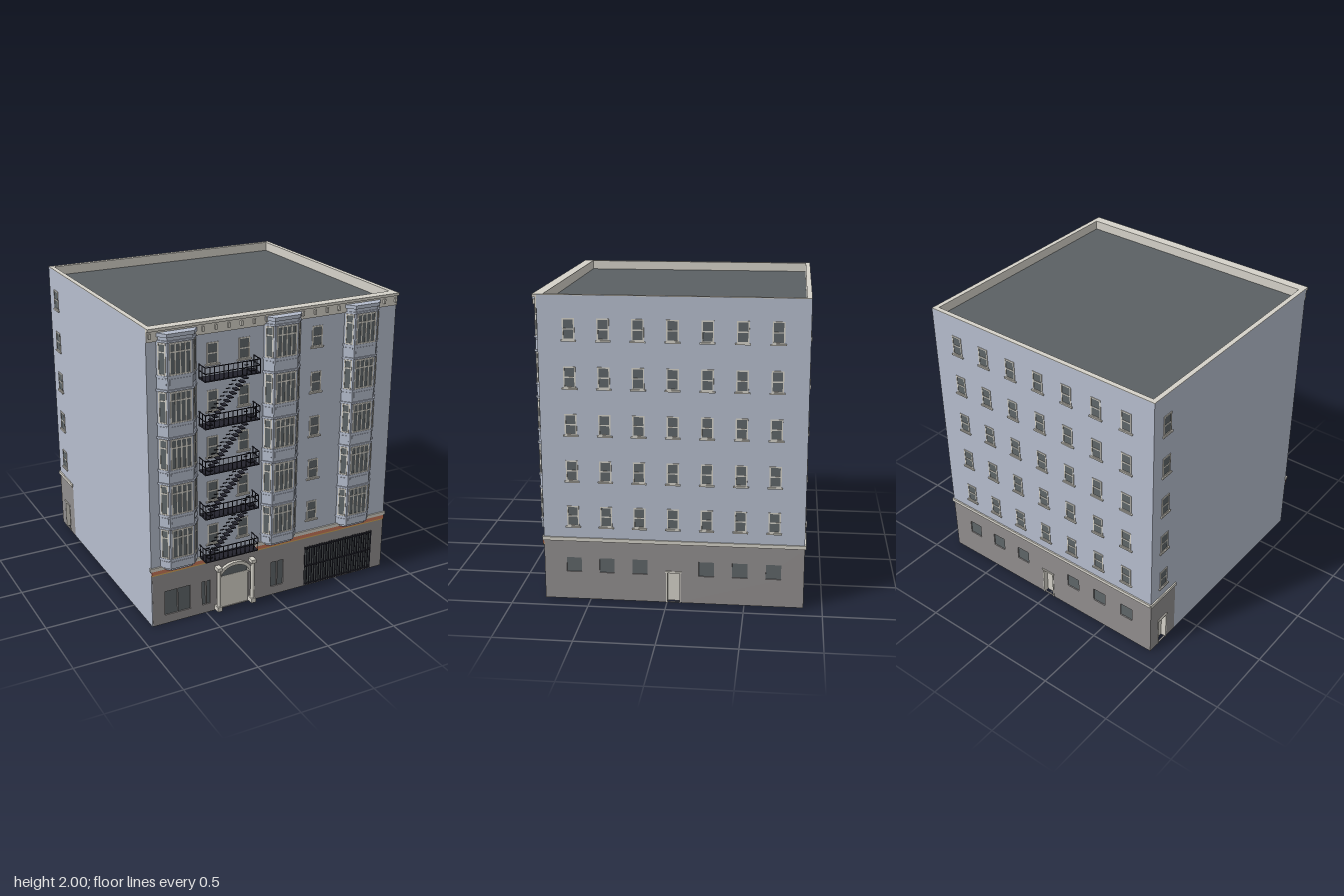
import * as THREE from 'three';

const mat = (name, color) => {
  const m = new THREE.MeshStandardMaterial({ color });
  m.name = name;
  return m;
};
const BLUE = mat('blue wall', 0xb6bece);
const CREAM = mat('cream trim', 0xd5d2c9);
const GRAY = mat('gray stone', 0x918e8e);
const GLASS = mat('dark glass', 0x5f6669);
const ROOF = mat('roof', 0x5b6063);
const IRON = mat('black iron', 0x22222c);
const ORANGE = mat('orange band', 0xc8775a);
const YELLOW = mat('yellow band', 0xd0a658);

const X = 0.885, FRONT = 0.8, BACK = -0.88, PITCH = 0.304, SKIN = 0.012;
const FLOORS = [0, 1, 2, 3, 4];

function add(parent, name, geo, material, x = 0, y = 0, z = 0) {
  const m = new THREE.Mesh(geo, material);
  m.name = name;
  m.position.set(x, y, z);
  parent.add(m);
  return m;
}
// box given by its limits
function box(parent, name, material, x0, x1, y0, y1, z0, z1) {
  return add(parent, name, new THREE.BoxGeometry(x1 - x0, y1 - y0, z1 - z0), material,
    (x0 + x1) / 2, (y0 + y1) / 2, (z0 + z1) / 2);
}
function rect(x0, x1, y0, y1, Type = THREE.Shape) {
  return new Type([[x0, y0], [x1, y0], [x1, y1], [x0, y1]].map(p => new THREE.Vector2(...p)));
}
const extrude = (shape, depth) =>
  new THREE.ExtrudeGeometry(shape, { depth, bevelEnabled: false, curveSegments: 16 });

// framed window standing on y, with a grid of panes and an optional sill
function windowUnit(parent, u, y, w, h, cols, split, sill) {
  const bar = 0.008;
  const g = new THREE.Group();
  g.name = 'window';
  g.position.set(u, y, 0);
  const frame = rect(-w / 2, w / 2, 0, h);
  const pw = (w - bar) / cols;
  for (let c = 0; c < cols; c++) {
    const x0 = -w / 2 + bar + c * pw, x1 = x0 + pw - bar;
    frame.holes.push(rect(x0, x1, bar, h * split - bar / 2, THREE.Path));
    frame.holes.push(rect(x0, x1, h * split + bar / 2, h - bar, THREE.Path));
  }
  add(g, 'windowFrame', extrude(frame, 0.004), CREAM);
  box(g, 'windowGlass', GLASS, -w / 2 + 0.003, w / 2 - 0.003, 0.003, h - 0.003, 0, 0.0015);
  if (sill) box(g, 'windowSill', CREAM, -w / 2 - 0.01, w / 2 + 0.01, -0.01, 0, 0, 0.01);
  parent.add(g);
}
const sashColumn = (side, u) => {
  for (const f of FLOORS) windowUnit(side, u, 0.504 + f * PITCH, 0.077, 0.136, 1, 0.5, true);
};

// thin upper wall and the pale inner lining, open at the bottom
function shell(side, u0, u1) {
  box(side, 'upperWall', BLUE, u0, u1, 0.4, 1.996, -SKIN, 0);
  add(side, 'innerLining', new THREE.PlaneGeometry(u1 - u0 - 0.026, 1.93), CREAM,
    (u0 + u1) / 2, 0.965, -0.014).rotation.y = Math.PI;
}
// ground floor wall with glazed openings [u0, u1, y0, y1]
function groundWall(side, u0, u1, openings, doorway) {
  const s = rect(u0, u1, 0, 0.402);
  for (const o of openings) {
    s.holes.push(rect(...o, THREE.Path));
    box(side, 'groundGlass', GLASS, ...o, -SKIN, -0.008);
  }
  s.holes.push(doorway);
  add(side, 'groundWall', extrude(s, SKIN), GRAY, 0, 0, -SKIN);
}
function sideDoor(side, u) {
  box(side, 'doorLintel', CREAM, u - 0.052, u + 0.052, 0.205, 0.217, -0.04, 0.006);
  for (const s of [-1, 1]) box(side, 'doorJamb', CREAM, u + s * 0.043 - 0.004, u + s * 0.043 + 0.004, 0, 0.205, -0.04, 0.003);
  box(side, 'door', CREAM, u - 0.041, u + 0.041, 0, 0.205, -0.04, -0.034);
}
function plainSide(side, u0, u1, columns, groundColumns, doorU) {
  groundWall(side, u0, u1, groundColumns.map(u => [u - 0.049, u + 0.049, 0.188, 0.287]),
    rect(doorU - 0.045, doorU + 0.045, 0.003, 0.21, THREE.Path));
  sideDoor(side, doorU);
  for (const u of columns) sashColumn(side, u);
  box(side, 'beltCourse', CREAM, u0 - 0.008, u1, 0.402, 0.426, -0.01, 0.009);
}

// three-sided bay: stacked trapezoid slabs with windows on each facet
function bay(side, x) {
  const g = new THREE.Group();
  g.name = 'bayWindow';
  g.position.x = x;
  const A = 0.13, B = 0.083, D = 0.056;
  const slab = (name, m, y0, y1, grow) => {
    const s = new THREE.Shape([[-B - grow * 0.7, -D - grow], [B + grow * 0.7, -D - grow], [A + grow, 0], [-A - grow, 0]]
      .map(p => new THREE.Vector2(...p)));
    add(g, name, extrude(s, y1 - y0), m, 0, y0, 0).rotation.x = -Math.PI / 2;
  };
  slab('bayFoot', BLUE, 0.402, 0.425, -0.015);
  slab('bayBody', BLUE, 0.42, 1.95, 0);
  slab('bayCap', BLUE, 1.945, 1.968, 0.01);
  const facets = [[0, D, 0, 0.142, 4], [(A + B) / 2, D / 2, 1, 0.053, 1], [-(A + B) / 2, D / 2, -1, 0.053, 1]];
  const angle = Math.atan2(A - B, D);
  for (const [fx, fz, s, w, cols] of facets) {
    const facet = new THREE.Group();
    facet.name = 'bayFacet';
    facet.position.set(fx, 0, fz);
    facet.rotation.y = s * (Math.PI / 2 - angle);
    g.add(facet);
    for (const f of FLOORS) {
      const y = 0.492 + f * PITCH;
      windowUnit(facet, 0, y, w, 0.2, cols, 0.72, false);
      box(facet, 'bayPanel', BLUE, -w / 2, w / 2, y - 0.062, y - 0.022, -0.002, 0.003);
    }
  }
  for (const f of FLOORS) {
    const y = 0.492 + f * PITCH;
    slab('baySill', BLUE, y - 0.012, y, 0.006);
    slab('bayLedge', BLUE, y + 0.204, y + 0.216, 0.007);
  }
  side.add(g);
}

function fireEscape(side) {
  const g = new THREE.Group();
  g.name = 'fireEscape';
  side.add(g);
  const x0 = -0.545, x1 = -0.165, z1 = 0.09, t = 0.004;
  for (const f of FLOORS) {
    const y = 0.42 + f * 0.305;
    box(g, 'platform', IRON, x0, x1, y, y + 0.007, 0, z1);
    for (const h of [0.05, 0.09]) {
      box(g, 'rail', IRON, x0, x1, y + h, y + h + 0.005, z1 - t, z1);
      for (const x of [x0, x1 - t]) box(g, 'endRail', IRON, x, x + t, y + h, y + h + 0.005, 0, z1);
    }
    for (let i = 0; i <= 12; i++) {
      const x = x0 + (x1 - x0 - t) * i / 12;
      box(g, 'railBar', IRON, x, x + t, y, y + 0.094, z1 - t, z1);
    }
    for (const x of [x0, x1 - t]) for (const z of [0.005, 0.045]) box(g, 'endBar', IRON, x, x + t, y, y + 0.094, z, z + t);
    if (f === 4) continue;
    // open stair to the next platform, with a stepped inner string
    for (let i = 0; i < 15; i++) {
      const x = -0.5 + 0.29 * i / 14, ty = y + 0.015 + 0.305 * i / 14;
      box(g, 'stairTread', IRON, x - 0.016, x + 0.016, ty, ty + 0.006, 0.025, 0.07);
      box(g, 'stairString', IRON, x - 0.014, x + 0.014, ty + 0.05, ty + 0.055, 0.025, 0.03);
    }
  }
}

function entrance(side) {
  const g = new THREE.Group();
  g.name = 'entrance';
  g.position.x = -0.295;
  side.add(g);
  box(g, 'frontDoor', CREAM, -0.108, 0.108, 0.004, 0.235, -SKIN, -0.006);
  box(g, 'fanlight', GLASS, -0.108, 0.108, 0.235, 0.32, -SKIN, -0.008);
  box(g, 'vestibuleSide', IRON, -0.14, -0.135, 0.01, 0.25, -0.2, -0.014);
  box(g, 'vestibuleGlass', GLASS, -0.135, -0.132, 0.04, 0.2, -0.18, -0.04);
  const arch = new THREE.Shape();
  arch.absellipse(0, 0.235, 0.125, 0.098, 0, Math.PI, false);
  arch.absellipse(0, 0.235, 0.105, 0.075, Math.PI, 0, true);
  add(g, 'archTrim', extrude(arch, 0.03), CREAM, 0, 0, -0.01);
  for (const s of [-1, 1]) {
    const x = s * 0.125;
    add(g, 'column', new THREE.CylinderGeometry(0.012, 0.014, 0.27, 16), CREAM, x, 0.175, 0.028);
    box(g, 'columnBase', CREAM, x - 0.017, x + 0.017, 0.008, 0.04, 0, 0.048);
    box(g, 'columnCapital', CREAM, x - 0.017, x + 0.017, 0.305, 0.33, 0, 0.048);
  }
}

export function createModel() {
  const model = new THREE.Group();
  model.name = 'apartmentBuilding';
  const side = (name, x, z, turn) => {
    const g = new THREE.Group();
    g.name = name;
    g.position.set(x, 0, z);
    g.rotation.y = turn;
    model.add(g);
    return g;
  };

  // roof deck and parapet
  const deck = (name, m, y, turn) => add(model, name,
    new THREE.PlaneGeometry(2 * X - 0.03, FRONT - BACK - 0.03), m, 0, y, (FRONT + BACK) / 2).rotation.x = turn;
  deck('roof', ROOF, 1.938, -Math.PI / 2);
  deck('ceiling', CREAM, 1.93, Math.PI / 2);
  const ring = (name, inset, y0, y1) => {
    const s = rect(-X + inset, X - inset, -FRONT + inset, -BACK - inset);
    s.holes.push(rect(-X + 0.032, X - 0.032, -FRONT + 0.038, -BACK - 0.032, THREE.Path));
    add(model, name, extrude(s, y1 - y0), CREAM, 0, y0, 0).rotation.x = -Math.PI / 2;
  };
  ring('parapetLining', SKIN, 1.932, 1.996);
  ring('parapetCoping', 0, 1.996, 2);

  // plain sides
  const cols = [0, 1, 2, 3, 4, 5, 6];
  const keep = (_, i) => i !== 3;
  const rightCols = cols.map(i => -0.605 + 0.215 * i);
  const backCols = cols.map(i => -0.684 + 0.228 * i);
  const east = side('eastSide', X, 0, Math.PI / 2);
  shell(east, -FRONT, -BACK);
  plainSide(east, -FRONT, -BACK, rightCols, rightCols.filter(keep), 0.042);
  const rear = side('backSide', 0, BACK, Math.PI);
  shell(rear, -X, X);
  plainSide(rear, -X, X, backCols, backCols.filter(keep), 0);
  const west = side('westSide', -X, 0, -Math.PI / 2);
  shell(west, BACK, FRONT);
  plainSide(west, BACK, -0.61, [-0.75], [], -0.75);
  box(west, 'blankWall', BLUE, -0.61, FRONT - 0.001, 0, 0.402, -SKIN, 0);

  // front
  const front = side('frontSide', 0, FRONT, 0);
  shell(front, -X, X);
  const portal = new THREE.Path();
  portal.moveTo(-0.403, 0.003);
  portal.lineTo(-0.187, 0.003);
  portal.lineTo(-0.187, 0.235);
  portal.absellipse(-0.295, 0.235, 0.108, 0.078, 0, Math.PI, false);
  portal.lineTo(-0.403, 0.003);
  groundWall(front, -0.88, X, [
    [-0.795, -0.705, 0.062, 0.235], [-0.7, -0.612, 0.062, 0.235],
    [-0.528, -0.502, 0.062, 0.235], [-0.492, -0.468, 0.062, 0.235],
    [-0.013, 0.03, 0.062, 0.248], [0.038, 0.082, 0.062, 0.248],
    [0.247, 0.792, 0.004, 0.295]], portal);
  entrance(front);
  for (let i = 0; i <= 28; i++) {
    const x = 0.25 + 0.54 * i / 28;
    box(front, 'grilleBar', IRON, x - 0.0025, x + 0.0025, 0.004, 0.3, -0.006, 0.003);
  }
  for (const y of [0.012, 0.15, 0.285]) box(front, 'grilleRail', IRON, 0.247, 0.792, y - 0.003, y + 0.003, -0.006, 0.004);
  box(front, 'orangeBand', ORANGE, -X, X, 0.376, 0.402, 0, 0.007);
  box(front, 'yellowBand', YELLOW, -X, X, 0.367, 0.376, 0, 0.005);
  box(front, 'beltCourse', CREAM, -0.894, 0.894, 0.402, 0.426, -0.01, 0.01);
  for (const u of [-0.45, -0.233, 0.29]) sashColumn(front, u);
  for (const x of [-0.69, 0.035, 0.62]) bay(front, x);
  fireEscape(front);

  // cornice with brackets
  box(front, 'cornice', CREAM, -X, X, 1.982, 2, 0, 0.028);
  box(front, 'frieze', CREAM, -X, X, 1.915, 1.982, 0, 0.01);
  for (let i = 0; i < 21; i++) {
    const x = -0.868 + i * 0.0868;
    box(front, 'corniceBracket', CREAM, x - 0.007, x + 0.007, 1.938, 1.968, 0.01, 0.024);
  }
  return model;
}
